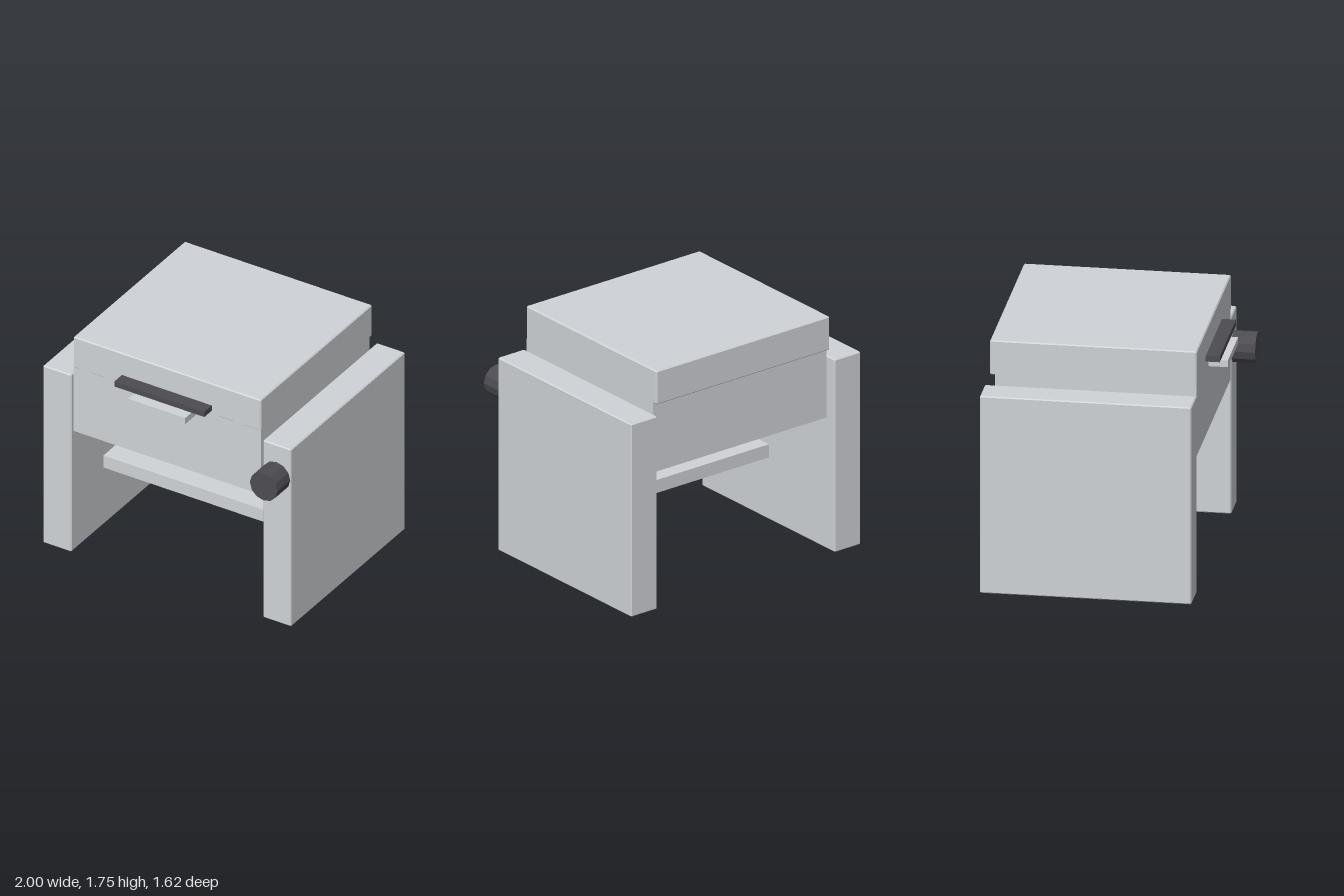
import * as THREE from 'three';
import { ConvexGeometry } from 'three/addons/geometries/ConvexGeometry.js';

// Box with flat chamfers: each corner is cut back along the three axes
function chamferedBox(w, h, d, c) {
  const points = [];
  for (const sx of [-1, 1]) for (const sy of [-1, 1]) for (const sz of [-1, 1]) {
    const x = sx * w / 2, y = sy * h / 2, z = sz * d / 2;
    points.push(
      new THREE.Vector3(x, y - sy * c, z - sz * c),
      new THREE.Vector3(x - sx * c, y, z - sz * c),
      new THREE.Vector3(x - sx * c, y - sy * c, z),
    );
  }
  return new ConvexGeometry(points);
}

export function createModel() {
  const model = new THREE.Group();
  model.name = 'cabinetGrill';

  const steel = new THREE.MeshStandardMaterial({ color: 0xd0d3d7 });
  steel.name = 'light steel grey';
  const dark = new THREE.MeshStandardMaterial({ color: 0x4d4c52 });
  dark.name = 'dark grey';

  // Box given by its limits on each axis, with optional chamfered edges
  function box(name, material, [x0, x1], [y0, y1], [z0, z1], chamfer = 0) {
    const size = [x1 - x0, y1 - y0, z1 - z0];
    const geometry = chamfer
      ? chamferedBox(...size, chamfer)
      : new THREE.BoxGeometry(...size);
    const mesh = new THREE.Mesh(geometry, material);
    mesh.name = name;
    mesh.position.set((x0 + x1) / 2, (y0 + y1) / 2, (z0 + z1) / 2);
    model.add(mesh);
  }

  // Side panels that carry everything
  box('leftPanel', steel, [0.772, 1], [0, 1.435], [-0.812, 0.648], 0.008);
  box('rightPanel', steel, [-1, -0.772], [0, 1.435], [-0.812, 0.648], 0.008);

  // Cross bar between the panels
  box('crossBar', steel, [-0.775, 0.775], [0.463, 0.56], [-0.092, 0.235]);

  // Body, with the overhanging lid on top
  box('body', steel, [-0.755, 0.755], [0.988, 1.51], [-0.745, 0.645]);
  box('lid', steel, [-0.755, 0.755], [1.502, 1.752], [-0.78, 0.648], 0.008);

  // Lid handle and the ledge beneath it
  box('handle', dark, [-0.363, 0.362], [1.535, 1.576], [0.64, 0.745]);
  box('ledge', steel, [-0.23, 0.23], [1.452, 1.5], [0.64, 0.78]);

  // Twelve-sided knob on the front edge of the left panel
  const knobGeometry = new THREE.CylinderGeometry(0.111, 0.111, 0.172, 12).rotateX(Math.PI / 2).toNonIndexed();
  knobGeometry.computeVertexNormals();
  const knob = new THREE.Mesh(knobGeometry, dark);
  knob.name = 'knob';
  knob.position.set(0.882, 1.185, 0.726);
  model.add(knob);

  return model;
}
